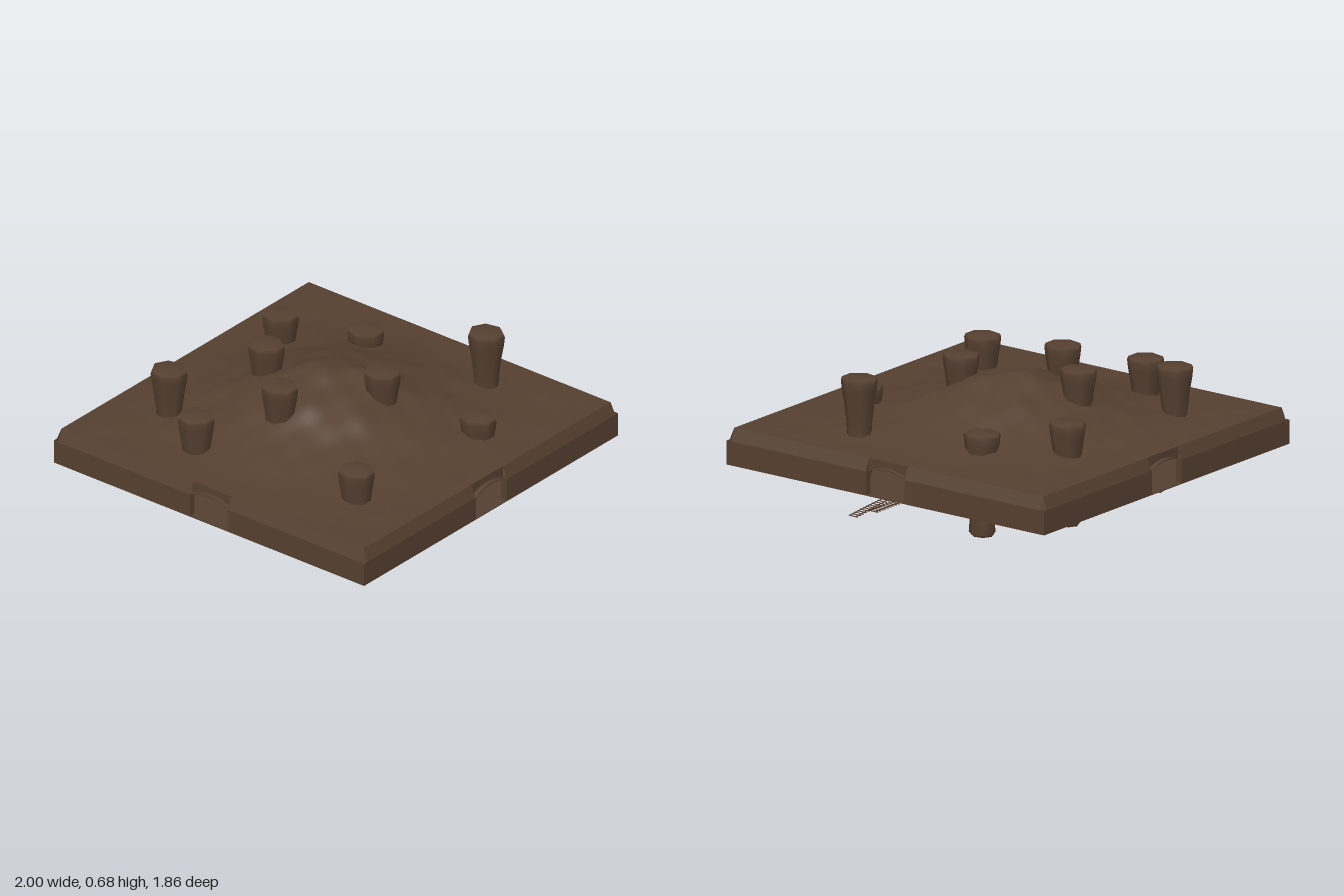
import * as THREE from 'three';
import { mergeGeometries } from 'three/addons/utils/BufferGeometryUtils.js';

const CX = -0.07;            // centre of the chamber in x
const HALF = 0.93, ROOF = 0.905;
const BASE = 0.225, CREASE = 0.34, TOP = 0.4;

const rock = new THREE.MeshStandardMaterial({ color: 0x553f30, side: THREE.DoubleSide });
rock.name = 'brown rock';

function add(parent, name, geometry) {
  const mesh = new THREE.Mesh(geometry, rock);
  mesh.name = name;
  parent.add(mesh);
  return mesh;
}

// Smooth lumpy hill that fades out towards the edges
function hillHeight(x, z) {
  const r = Math.hypot(x + 0.06, z + 0.04);
  const edge = Math.min(1, Math.max(0, (ROOF - Math.max(Math.abs(x - CX), Math.abs(z))) / 0.3));
  const bumps = Math.sin(x * 13 + z * 5) * Math.sin(z * 15 - x * 4) * 0.011
    + Math.sin(x * 27 - z * 11 + 1) * Math.sin(z * 24 + x * 9) * 0.006;
  return TOP + edge * (0.225 * Math.exp(-((r / 0.47) ** 2)) + bumps * (0.3 + Math.exp(-r * r * 5)));
}

function roofGeometry() {
  const g = new THREE.PlaneGeometry(2 * ROOF, 2 * ROOF, 64, 64).rotateX(-Math.PI / 2).translate(CX, 0, 0);
  const p = g.attributes.position;
  for (let i = 0; i < p.count; i++) p.setY(i, hillHeight(p.getX(i), p.getZ(i)));
  g.computeVertexNormals();
  return g;
}

// Continues a shape around the arched doorway, from its right foot to its left foot
function traceDoor(shape, foot) {
  shape.lineTo(0.112, foot);
  shape.lineTo(0.112, CREASE);
  shape.quadraticCurveTo(0.06, 0.362, 0, 0.362);
  shape.quadraticCurveTo(-0.06, 0.362, -0.112, CREASE);
  shape.lineTo(-0.112, foot);
}

// One side wall facing +z: upright face, sloped shoulder and arched doorway
function makeWall(name) {
  const wall = new THREE.Group();
  wall.name = name;
  const face = new THREE.Shape();
  face.moveTo(-HALF, BASE);
  face.lineTo(-HALF, CREASE);
  face.lineTo(-0.118, CREASE);
  face.quadraticCurveTo(-0.06, 0.368, 0, 0.368);
  face.quadraticCurveTo(0.06, 0.368, 0.118, CREASE);
  face.lineTo(HALF, CREASE);
  face.lineTo(HALF, BASE);
  traceDoor(face, BASE);
  add(wall, 'wallFace', new THREE.ExtrudeGeometry(face, { depth: 0.005, bevelEnabled: false }))
    .position.z = HALF - 0.005;

  // Header set back above the door
  const header = new THREE.Shape();
  header.moveTo(-0.118, CREASE);
  header.lineTo(-0.118, TOP);
  header.lineTo(0.118, TOP);
  header.lineTo(0.118, CREASE);
  traceDoor(header, CREASE);
  add(wall, 'doorHeader', new THREE.ShapeGeometry(header)).position.z = ROOF;

  // Vault and jambs of the doorway
  const vault = new THREE.Shape();
  vault.moveTo(-0.118, BASE);
  vault.lineTo(-0.118, CREASE);
  vault.quadraticCurveTo(-0.06, 0.368, 0, 0.368);
  vault.quadraticCurveTo(0.06, 0.368, 0.118, CREASE);
  vault.lineTo(0.118, BASE);
  traceDoor(vault, BASE);
  add(wall, 'doorVault', new THREE.ExtrudeGeometry(vault, { depth: 0.03, bevelEnabled: false }))
    .position.z = HALF - 0.032;

  // Sloped shoulders beside the door
  const run = HALF - ROOF, rise = TOP - CREASE, len = ROOF - 0.115;
  for (const s of [-1, 1]) {
    const g = new THREE.PlaneGeometry(len, Math.hypot(run, rise)).rotateX(-Math.atan2(run, rise));
    add(wall, 'wallShoulder', g)
      .position.set(s * (0.115 + len / 2), (CREASE + TOP) / 2, (HALF + ROOF) / 2);
  }
  return wall;
}

// Ladder track with two rails and many ties along a curve
function makeTrack(name, points) {
  const track = new THREE.Group();
  track.name = name;
  const curve = new THREE.CatmullRomCurve3(points.map(p => new THREE.Vector3(...p)));
  const count = Math.round(curve.getLength() / 0.02);
  const rails = [[], []], ties = [];
  for (let i = 0; i <= count; i++) {
    const p = curve.getPointAt(i / count), t = curve.getTangentAt(i / count);
    const side = new THREE.Vector3(-t.z, 0, t.x).normalize();
    rails.forEach((r, k) => r.push(p.clone().addScaledVector(side, k ? 0.018 : -0.018)));
    ties.push(new THREE.BoxGeometry(0.006, 0.003, 0.056)
      .rotateY(-Math.atan2(t.z, t.x)).translate(p.x, p.y - 0.003, p.z));
  }
  rails.forEach(r => add(track, 'rail',
    new THREE.TubeGeometry(new THREE.CatmullRomCurve3(r), count, 0.0025, 4)));
  add(track, 'ties', mergeGeometries(ties));
  return track;
}

export function createModel() {
  const model = new THREE.Group();
  model.name = 'cavern';

  add(model, 'hillRoof', roofGeometry());
  add(model, 'floor', new THREE.BoxGeometry(2 * HALF, 0.004, 2 * HALF)).position.set(CX, BASE, 0);

  ['frontWall', 'leftWall', 'backWall', 'rightWall'].forEach((name, i) => {
    const wall = makeWall(name);
    wall.rotation.y = i * Math.PI / 2;
    wall.position.x = CX;
    model.add(wall);
  });

  // Shallow square slabs under the floor
  const slabs = [[0.55, -0.48], [-0.39, -0.59], [0.48, 0.53], [-0.37, 0.78], [-0.72, 0.46], [-0.77, -0.24]];
  for (const [x, z] of slabs) {
    add(model, 'floorSlab', new THREE.BoxGeometry(0.18, 0.014, 0.18)).position.set(x, 0.217, z);
  }

  // Flared seven-sided pillars, all of one height: x, z, top
  const pillars = [
    [-0.56, -0.6, 0.65], [0.28, -0.62, 0.58], [-0.74, -0.29, 0.59], [-0.14, -0.36, 0.69],
    [0.5, -0.29, 0.52], [-0.41, -0.06, 0.69], [0, 0.22, 0.69], [0.59, 0.36, 0.69],
    [-0.63, 0.58, 0.565], [0.2, 0.63, 0.51],
  ];
  const profile = [[0, 0], [0.05, 0.002], [0.06, 0.015], [0.055, 0.09], [0.053, 0.2], [0.058, 0.28],
    [0.068, 0.37], [0.079, 0.44], [0.083, 0.48], [0.078, 0.496], [0, 0.5]]
    .map(([r, y]) => new THREE.Vector2(r, y));
  const pillarGeometry = new THREE.LatheGeometry(profile, 7, Math.PI).scale(1, 1, 1.1);
  for (const [x, z, top] of pillars) {
    add(model, 'pillar', pillarGeometry).position.set(x, top - 0.5, z);
  }

  // Tracks leaving through the doors
  model.add(makeTrack('backTrack', [[1, 0.212, -0.038], [0.86, 0.214, -0.04], [0.6, 0.219, -0.11],
    [0.21, 0.222, -0.42], [0, 0.222, -0.7], [-0.05, 0.222, -0.92]]));
  model.add(makeTrack('frontTrack', [[0.998, 0.166, 0.08], [0.86, 0.185, 0.07], [0.62, 0.215, 0.04],
    [0.3, 0.221, -0.02], [-0.06, 0.221, 0], [-0.25, 0.222, 0.14], [-0.32, 0.222, 0.36]]));
  return model;
}
